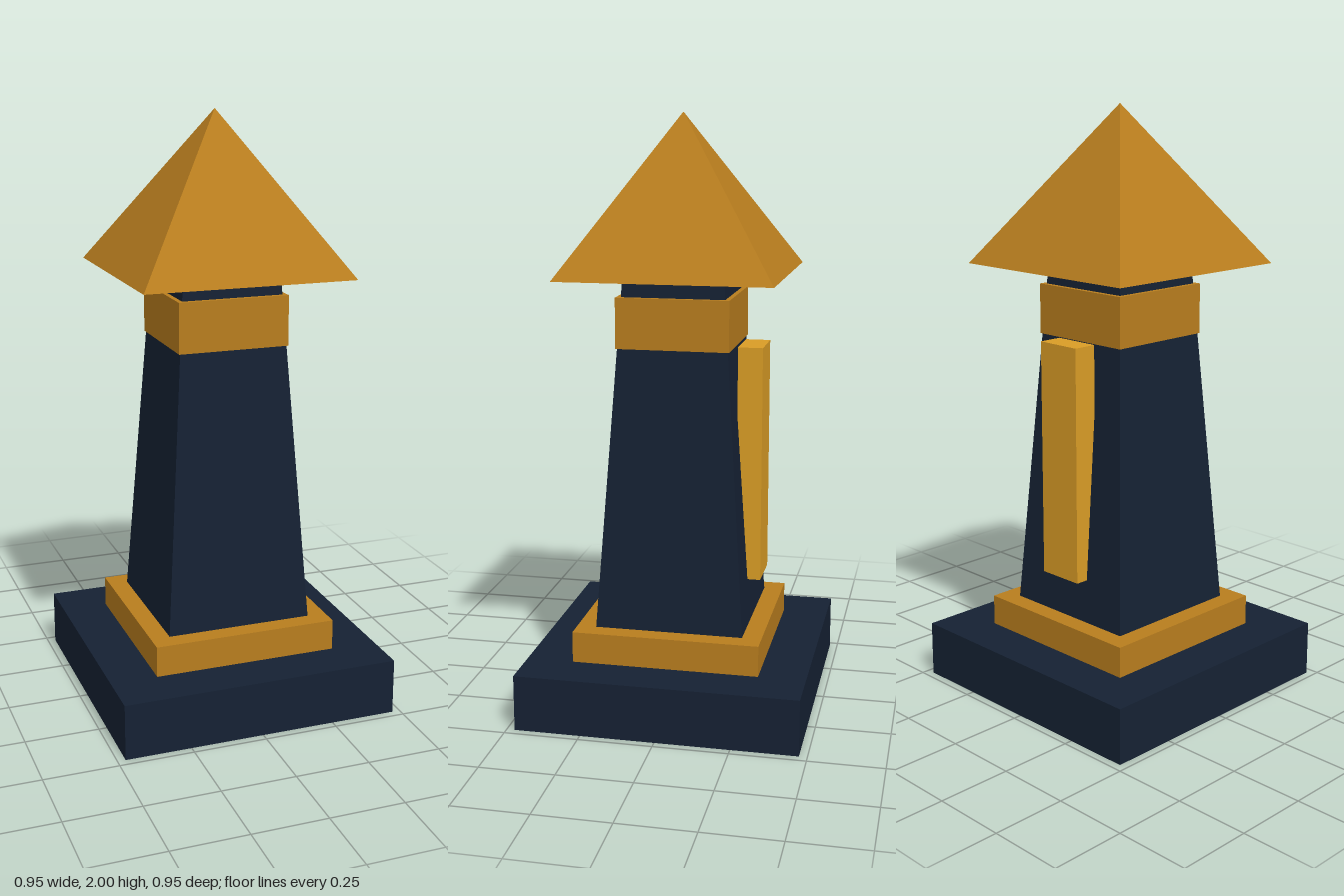
import * as THREE from 'three';

export function createModel() {
  const group = new THREE.Group();
  const material = (color) => new THREE.MeshStandardMaterial({ color, flatShading: true });
  const navy = material(0x152133);
  const brass = material(0xb87d1e);
  const brightBrass = material(0xd99c26);

  // Square block or taper between two heights, given its half widths
  function squareTier(name, y0, y1, bottomHalf, topHalf, mat) {
    const geometry = new THREE.CylinderGeometry(topHalf * Math.SQRT2, bottomHalf * Math.SQRT2, y1 - y0, 4);
    geometry.rotateY(Math.PI / 4);
    const mesh = new THREE.Mesh(geometry, mat);
    mesh.name = name;
    mesh.position.y = (y0 + y1) / 2;
    group.add(mesh);
  }

  // Stepped foot
  squareTier('base', 0, 0.19, 0.473, 0.473, navy);
  squareTier('plinth', 0.19, 0.295, 0.315, 0.315, brass);

  // Tapering shaft with a collar near the top
  squareTier('shaft', 0.295, 1.478, 0.25, 0.168, navy);
  squareTier('collar', 1.241, 1.41, 0.189, 0.189, brass);

  // Pyramid roof
  squareTier('roof', 1.478, 2, 0.356, 0, brass);

  // Upright bar on the back
  const bar = new THREE.Mesh(new THREE.BoxGeometry(0.165, 0.8, 0.083), brightBrass);
  bar.name = 'backBar';
  bar.position.set(0, 0.842, -0.242);
  group.add(bar);

  return group;
}
